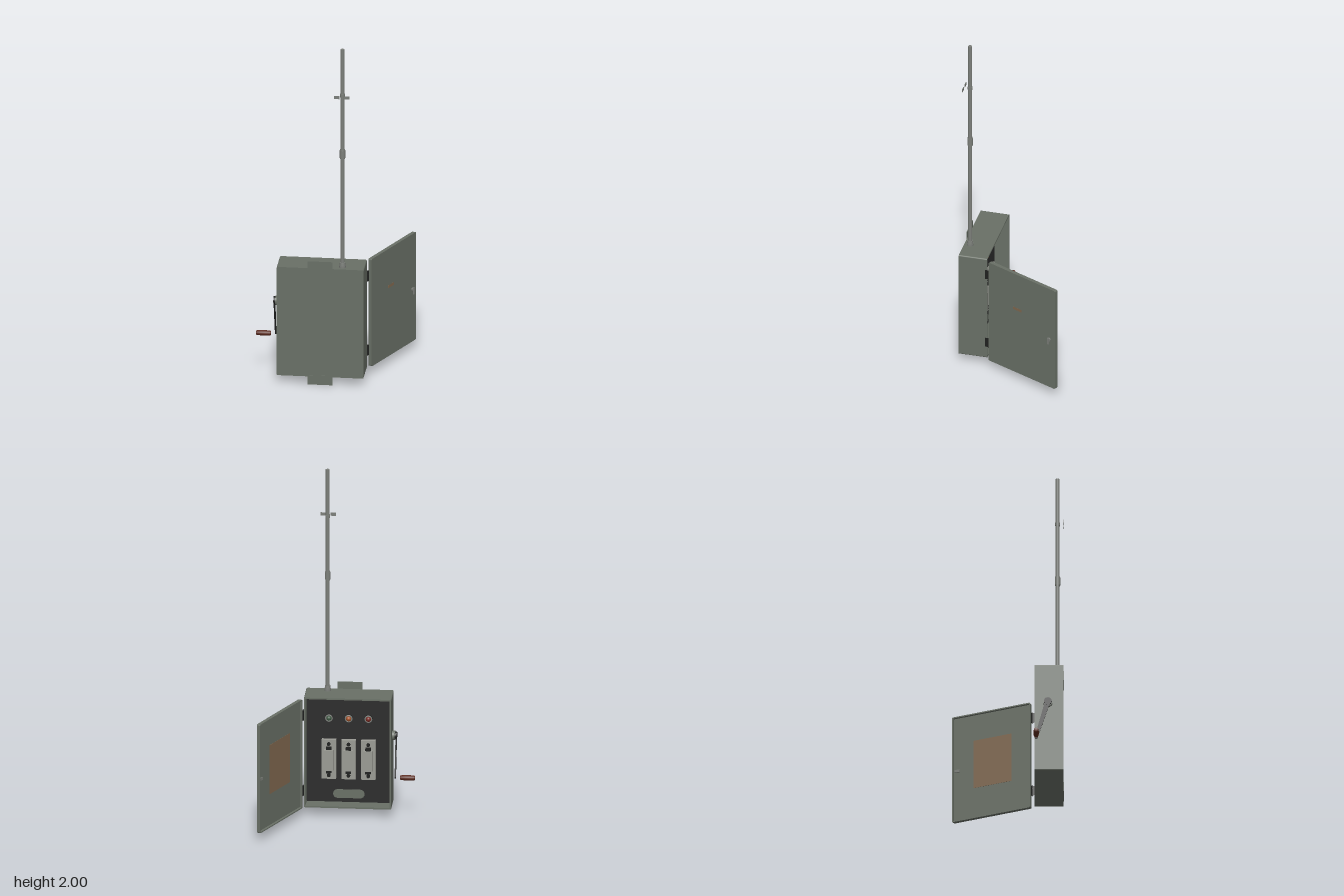
import * as THREE from 'three';

const mat = (name, color, side = THREE.FrontSide) => {
  const m = new THREE.MeshStandardMaterial({ color, side });
  m.name = name;
  return m;
};

// Rounded rectangle outline, optionally with a rectangular opening of the given wall width
function roundRect(x0, y0, x1, y1, r, wall = 0) {
  const s = new THREE.Shape();
  s.moveTo(x0 + r, y0);
  s.lineTo(x1 - r, y0).absarc(x1 - r, y0 + r, r, -Math.PI / 2, 0);
  s.lineTo(x1, y1 - r).absarc(x1 - r, y1 - r, r, 0, Math.PI / 2);
  s.lineTo(x0 + r, y1).absarc(x0 + r, y1 - r, r, Math.PI / 2, Math.PI);
  s.lineTo(x0, y0 + r).absarc(x0 + r, y0 + r, r, Math.PI, Math.PI * 1.5);
  if (wall) {
    const h = new THREE.Path();
    h.moveTo(x0 + wall, y0 + wall);
    h.lineTo(x0 + wall, y1 - wall).lineTo(x1 - wall, y1 - wall).lineTo(x1 - wall, y0 + wall).closePath();
    s.holes.push(h);
  }
  return s;
}

export function createModel() {
  const paint = mat('greenGreyPaint', 0x697066);
  const panelDark = mat('darkPanel', 0x2c2c2c);
  const iron = mat('blackIron', 0x1f201f);
  const steel = mat('conduitSteel', 0x7c7f7a);
  const ceramic = mat('ceramic', 0x9a9b94);
  const wood = mat('redBrownWood', 0x5c2a1e);
  const paper = mat('agedPaper', 0x80684f);
  const amber = mat('amberLens', 0xa8552a);
  const red = mat('redLens', 0x7a2a22);
  const green = mat('greenLens', 0x3f5a44);

  const root = new THREE.Group();
  root.name = 'switchBox';
  const add = (name, geo, m, x = 0, y = 0, z = 0, parent = root) => {
    const mesh = new THREE.Mesh(geo, m);
    mesh.name = name;
    mesh.position.set(x, y, z);
    parent.add(mesh);
    return mesh;
  };
  const group = (name, parent = root) => {
    const g = new THREE.Group();
    g.name = name;
    parent.add(g);
    return g;
  };
  const box = (w, h, d) => new THREE.BoxGeometry(w, h, d);
  const cyl = (r, h, r2 = r) => new THREE.CylinderGeometry(r2, r, h, 24);
  const cylX = (r, h) => cyl(r, h).rotateZ(Math.PI / 2);
  const cylZ = (r, h) => cyl(r, h).rotateX(Math.PI / 2);
  const extrude = (shape, depth) =>
    new THREE.ExtrudeGeometry(shape, { depth, bevelEnabled: false, curveSegments: 8 });

  // Cabinet: four walls, back sheet and the recessed equipment panel; open towards -z
  const X0 = -0.29, X1 = 0.197, Y0 = 0.047, Y1 = 0.695, CX = -0.047;
  add('cabinetWalls', extrude(roundRect(X0, Y0, X1, Y1, 0.008, 0.009), 0.156), paint, 0, 0, 0.147);
  add('cabinetBack', extrude(roundRect(X0, Y0, X1, Y1, 0.008), 0.007), paint, 0, 0, 0.303);
  add('equipmentPanel', box(X1 - X0 - 0.018, Y1 - Y0 - 0.018, 0.006), panelDark, CX, (Y0 + Y1) / 2, 0.233);
  for (const [name, y] of [['lower', 0.0275], ['upper', 0.7095]])
    add(name + 'MountingTab', box(0.138, 0.055, 0.003), paint, CX, y, 0.3105);

  // Indicator lamps
  const PZ = 0.23;
  [green, amber, red].forEach((lens, i) => {
    const lamp = group('indicatorLamp');
    lamp.position.set(CX + 0.11 * (1 - i), 0.553, PZ);
    add('lampBase', cylZ(0.021, 0.014), iron, 0, 0, -0.007, lamp);
    add('lampBezel', new THREE.TorusGeometry(0.018, 0.004, 8, 24), steel, 0, 0, -0.015, lamp);
    const dome = new THREE.SphereGeometry(0.015, 20, 8, 0, Math.PI * 2, 0, Math.PI / 2).rotateX(-Math.PI / 2);
    add('lampLens', dome, lens, 0, 0, -0.014, lamp);
  });

  // Fuse blocks
  for (const i of [-1, 0, 1]) {
    const f = group('fuseBlock');
    f.position.set(CX + 0.11 * i, 0.313, PZ);
    add('fuseBase', box(0.08, 0.23, 0.024), ceramic, 0, 0, -0.012, f);
    add('fuseCarrier', box(0.052, 0.12, 0.022), ceramic, 0, 0, -0.035, f);
    for (const s of [-1, 1]) {
      add('fuseClip', box(0.03, 0.014, 0.024), iron, 0, s * 0.069, -0.034, f);
      add('terminalScrew', cylZ(0.01, 0.012), iron, 0, s * 0.092, -0.028, f);
    }
  }

  // Stadium-shaped plate at the foot of the panel
  add('panelPlate', extrude(roundRect(-0.0875, -0.025, 0.0875, 0.025, 0.0249), 0.004), paint, CX, 0.105, PZ - 0.004);

  // Door, swung open; local x runs away from the hinge and local z points out of its outer face
  const door = group('door');
  door.position.set(0.203, 0, 0.123);
  door.rotation.y = THREE.MathUtils.degToRad(65.3);
  const DW = 0.478, DY0 = 0.05, DY1 = 0.692;
  add('doorRim', extrude(roundRect(0, DY0, DW, DY1, 0.008, 0.007), 0.013), paint, 0, 0, 0, door);
  add('doorSheet', extrude(roundRect(0, DY0, DW, DY1, 0.008), 0.008), paint, 0, 0, 0.013, door);
  add('wiringChart', box(0.23, 0.29, 0.002), paper, 0.235, 0.385, 0.0125, door);
  add('doorPlate', box(0.062, 0.016, 0.001), paper, 0.208, 0.466, 0.0212, door);
  add('latchBoss', cylZ(0.011, 0.008), steel, 0.437, 0.362, 0.024, door);
  add('latchHandle', box(0.009, 0.04, 0.006), steel, 0.437, 0.355, 0.031, door);
  add('latchTongue', box(0.03, 0.016, 0.006), steel, 0.45, 0.362, 0.009, door);

  // Hinges
  for (const y of [0.15, 0.595]) {
    const h = group('hinge');
    h.position.set(0.202, y, 0.135);
    for (const k of [-1, 0, 1]) add('hingeKnuckle', cyl(0.006, 0.019), iron, 0, k * 0.02, 0, h);
    add('hingeLeaf', box(0.003, 0.056, 0.024), iron, -0.003, 0, 0.012, h);
    add('hingePin', cyl(0.003, 0.066), steel, 0, 0, 0, h);
  }

  // Crank on the right-hand wall
  const crank = group('crank');
  crank.position.set(-0.29, 0.46, 0.222);
  add('crankBoss', cylX(0.027, 0.015), paint, -0.0075, 0, 0, crank);
  add('crankHub', cylX(0.022, 0.012), iron, -0.02, 0, 0, crank);
  const dz = -0.065, dy = -0.222, len = Math.hypot(dz, dy);
  const armShape = new THREE.Shape();
  armShape.absarc(0, 0, 0.015, 0, Math.PI);
  armShape.absarc(0, -len, 0.008, Math.PI, Math.PI * 2);
  armShape.closePath();
  const arm = extrude(armShape, 0.007).translate(0, 0, -0.0035).rotateY(Math.PI / 2);
  add('crankArm', arm, iron, -0.022, 0, 0, crank).rotation.x = Math.atan2(-dz, -dy);
  const grip = [[0, -0.042], [0.010, -0.042], [0.013, -0.038], [0.0155, -0.012], [0.0155, 0.012],
    [0.013, 0.038], [0.010, 0.042], [0, 0.042]].map(p => new THREE.Vector2(...p));
  add('crankGrip', new THREE.LatheGeometry(grip, 12).rotateZ(Math.PI / 2), wood, -0.09, -0.225, dz, crank);

  // Conduit rising from the cabinet top
  const PX = 0.075, CZ = 0.276;
  add('conduitPipe', cyl(0.0115, 1.31), steel, PX, 1.345, CZ);
  add('conduitLocknut', new THREE.CylinderGeometry(0.019, 0.019, 0.012, 12), steel, PX, 0.701, CZ);
  add('conduitBushing', cyl(0.017, 0.018, 0.015), steel, PX, 0.716, CZ);
  add('conduitCoupling', cyl(0.0155, 0.044), steel, PX, 1.374, CZ);
  for (const s of [-1, 1])
    add('couplingCollar', cyl(0.0135, 0.006), steel, PX, 1.374 + s * 0.024, CZ);

  // Pipe strap with its two wall ears
  const strap = group('pipeStrap');
  strap.position.set(PX, 1.724, 0);
  add('strapBand', cyl(0.0135, 0.018), steel, 0, 0, CZ, strap);
  for (const s of [-1, 1])
    add('strapEar', box(0.03, 0.018, 0.003), steel, s * 0.028, 0, 0.3105, strap);

  return root;
}
